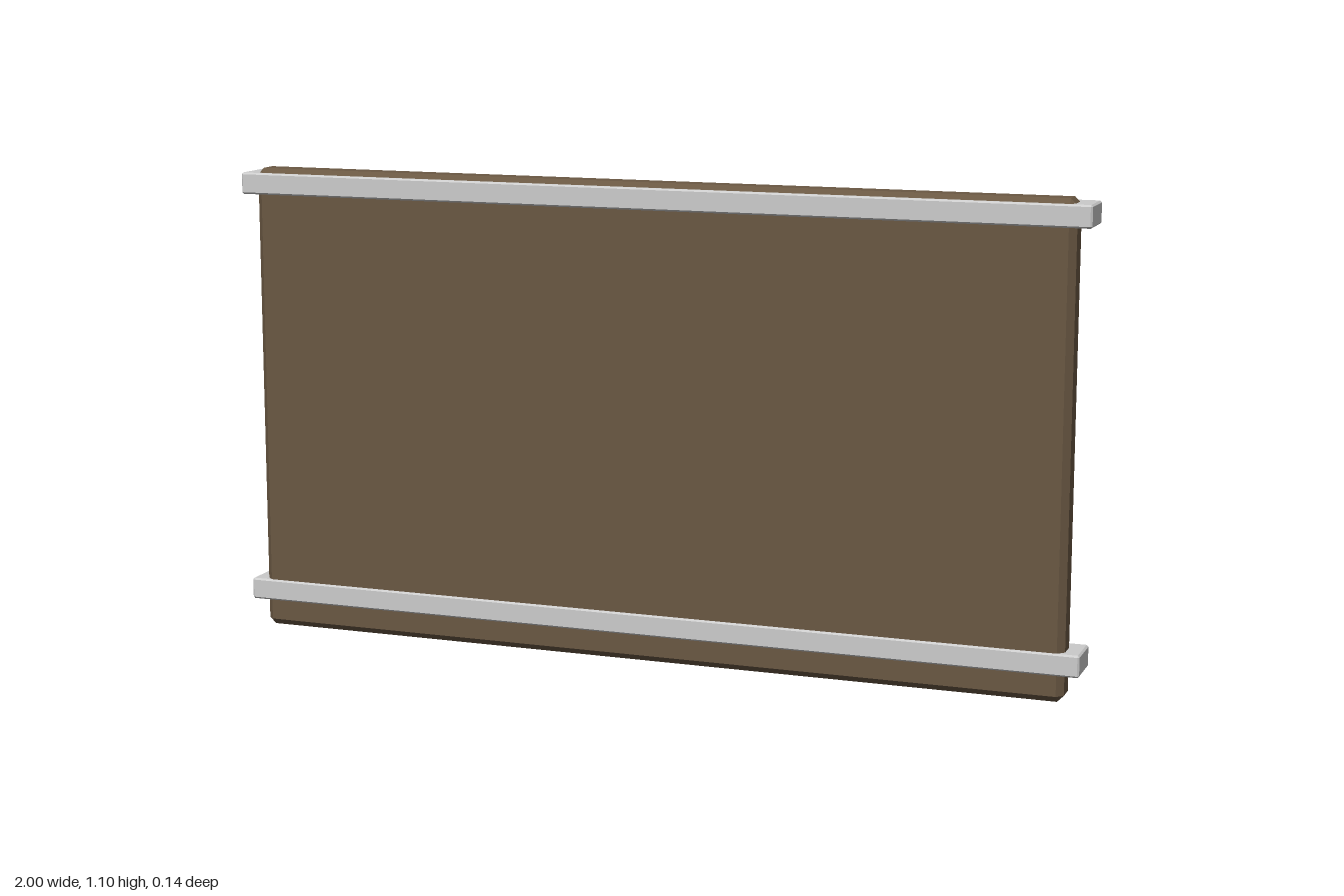
import * as THREE from 'three';
import { ConvexGeometry } from 'three/addons/geometries/ConvexGeometry.js';

const mat = (color) => new THREE.MeshStandardMaterial({ color });

// Box with every edge chamfered by c
function chamferBox(w, h, d, c) {
  const points = [];
  const half = [w / 2, h / 2, d / 2];
  for (const sx of [-1, 1]) for (const sy of [-1, 1]) for (const sz of [-1, 1]) {
    const signs = [sx, sy, sz];
    for (let face = 0; face < 3; face++) {
      points.push(new THREE.Vector3(...half.map((s, i) => signs[i] * (i === face ? s : s - c))));
    }
  }
  return new ConvexGeometry(points);
}

function add(parent, name, geometry, material, x, y, z) {
  const mesh = new THREE.Mesh(geometry, material);
  mesh.name = name;
  mesh.position.set(x, y, z);
  parent.add(mesh);
  return mesh;
}

export function createModel() {
  const model = new THREE.Group();
  model.name = 'wallPanel';
  const wood = mat(0x6a5843);
  const metal = mat(0xcccccc);
  const steel = mat(0x7b7f76);
  const dark = mat(0x454a4a);

  // Wooden board
  add(model, 'board', chamferBox(1.93, 1.095, 0.071, 0.015), wood, 0, 0.5475, 0.03);

  // Rails wrapped around the board
  const rail = chamferBox(2, 0.05, 0.102, 0.004);
  add(model, 'lowerRail', rail, metal, 0, 0.087, 0.019);
  add(model, 'upperRail', rail, metal, 0, 1.059, 0.019);

  // Row of hanging rods with paired clips on the back
  const clip = chamferBox(0.031, 0.11, 0.038, 0.005);
  const rod = new THREE.CylinderGeometry(0.0225, 0.0225, 0.63, 12);
  const peg = new THREE.CylinderGeometry(0.01, 0.01, 0.05, 10).rotateX(Math.PI / 2);
  const crossPin = new THREE.CylinderGeometry(0.009, 0.009, 0.07, 10).rotateZ(Math.PI / 2);
  for (const x of [-0.615, -0.264, 0.086, 0.437, 0.77]) {
    const hanger = new THREE.Group();
    hanger.name = 'hanger';
    hanger.position.x = x;
    add(hanger, 'rod', rod, steel, 0, 0.55, -0.0447);
    for (const side of [-1, 1]) add(hanger, 'clip', clip, steel, side * 0.048, 0.909, -0.0455);
    add(hanger, 'peg', peg, dark, 0, 0.945, -0.025);
    add(hanger, 'crossPin', crossPin, dark, 0, 0.945, -0.045);
    model.add(hanger);
  }
  return model;
}
